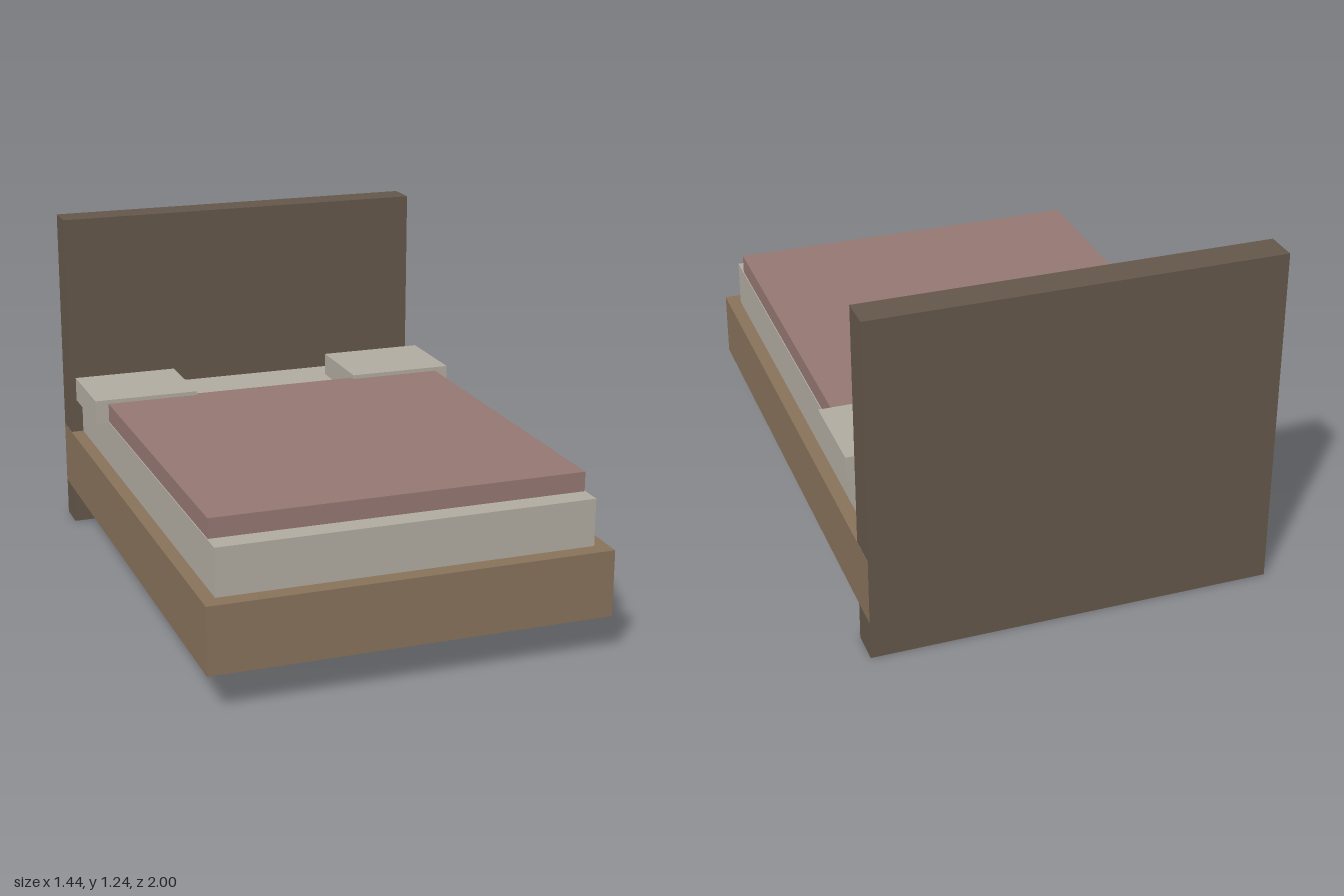
import * as THREE from 'three';

function material(name, color) {
  const m = new THREE.MeshStandardMaterial({ color });
  m.name = name;
  return m;
}

export function createModel() {
  const bed = new THREE.Group();
  bed.name = 'bed';

  const darkWood = material('dark wood', 0x63564a);
  const wood = material('wood', 0x87715a);
  const linen = material('linen', 0xb0aba0);
  const rose = material('rose fabric', 0x947671);

  // Box given by its [min, max] extents on each axis
  function addBox(name, mat, [x0, x1], [y0, y1], [z0, z1]) {
    const mesh = new THREE.Mesh(new THREE.BoxGeometry(x1 - x0, y1 - y0, z1 - z0), mat);
    mesh.position.set((x0 + x1) / 2, (y0 + y1) / 2, (z0 + z1) / 2);
    mesh.name = name;
    bed.add(mesh);
  }

  // Headboard standing on the floor; the frame's rails lap its sides
  addBox('headboard', darkWood, [-0.717, 0.717], [0, 1.24], [-1, -0.88]);
  addBox('bedFrame', wood, [-0.718, 0.718], [0.14, 0.38], [-0.999, 1]);

  // Bedding
  addBox('mattress', linen, [-0.67, 0.67], [0.38, 0.55], [-0.94, 0.94]);
  addBox('blanket', rose, [-0.667, 0.667], [0.545, 0.62], [-0.46, 0.86]);

  // Pair of pillows overhanging the mattress sides
  addBox('leftPillow', linen, [0.32, 0.717], [0.545, 0.635], [-0.77, -0.44]);
  addBox('rightPillow', linen, [-0.717, -0.32], [0.545, 0.635], [-0.77, -0.44]);

  return bed;
}
